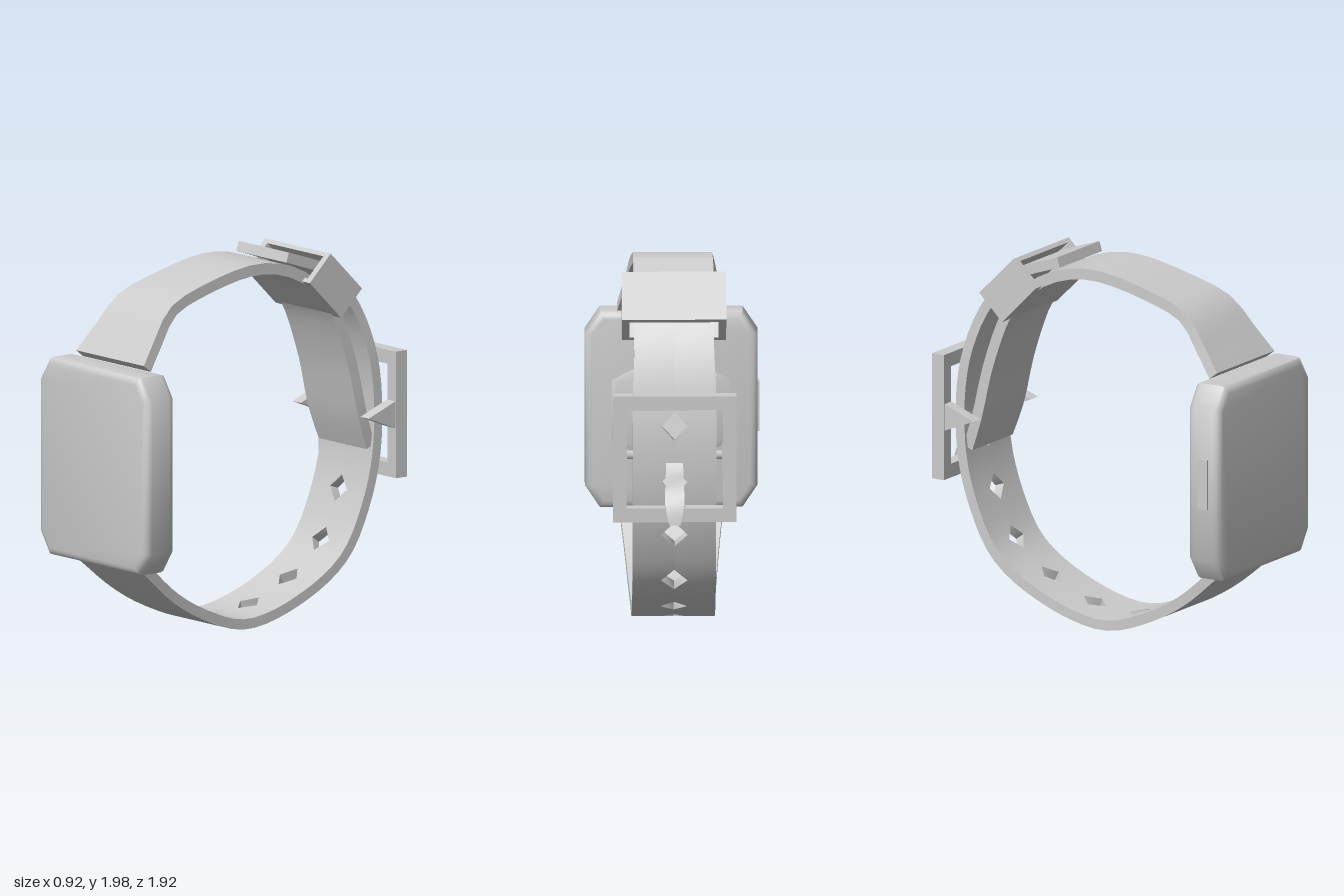
import * as THREE from 'three';
import { toCreasedNormals } from 'three/addons/utils/BufferGeometryUtils.js';

const material = new THREE.MeshStandardMaterial({ color: 0xcccccc });

function add(parent, name, geometry, x = 0, y = 0, z = 0) {
  const mesh = new THREE.Mesh(geometry, material);
  mesh.name = name;
  mesh.position.set(x, y, z);
  parent.add(mesh);
  return mesh;
}

// Sweep a rectangular section along [z, y, halfWidth] stations.
// edges(i, halfWidth) returns the left and right x of the section.
function ribbon(path, steps, thickness, edges) {
  const curve = new THREE.CatmullRomCurve3(path.map(([z, y, w]) => new THREE.Vector3(w, y, z)));
  const pts = curve.getSpacedPoints(steps);
  const pos = [], index = [];
  const h = thickness / 2;
  pts.forEach((p, i) => {
    const a = pts[Math.max(i - 1, 0)], b = pts[Math.min(i + 1, steps)];
    const len = Math.hypot(b.y - a.y, b.z - a.z);
    const ny = (b.z - a.z) / len * h, nz = -(b.y - a.y) / len * h;
    const [l, r] = edges(i, p.x);
    pos.push(l, p.y - ny, p.z - nz, r, p.y - ny, p.z - nz,
      r, p.y + ny, p.z + nz, l, p.y + ny, p.z + nz);
    if (i === steps) return;
    for (let j = 0; j < 4; j++) {
      const c = i * 4 + j, d = i * 4 + (j + 1) % 4;
      index.push(c, d, d + 4, c, d + 4, c + 4);
    }
  });
  const e = steps * 4;
  index.push(0, 3, 2, 0, 2, 1, e, e + 1, e + 2, e, e + 2, e + 3);
  const g = new THREE.BufferGeometry();
  g.setAttribute('position', new THREE.Float32BufferAttribute(pos, 3));
  g.setIndex(index);
  return toCreasedNormals(g, 0.8);
}

// Rectangular outline with cut corners
function rect(w, h, cx = 0, cy = 0, Type = THREE.Shape) {
  return new Type([
    [-w + cx, -h], [w - cx, -h], [w, -h + cy], [w, h - cy],
    [w - cx, h], [-w + cx, h], [-w, h - cy], [-w, -h + cy],
  ].filter((p, i) => cx > 0 || i % 2 === 0).map(([x, y]) => new THREE.Vector2(x, y)));
}

// Open rectangular frame centred on its own origin
function frame(w, h, innerW, innerH, depth) {
  const shape = rect(w, h);
  shape.holes.push(rect(innerW, innerH, 0, 0, THREE.Path));
  return new THREE.ExtrudeGeometry(shape, { depth, bevelEnabled: false }).translate(0, 0, -depth / 2);
}

export function createModel() {
  const model = new THREE.Group();
  model.name = 'wristwatch';

  // Case with softened edges and clipped corners
  const body = new THREE.ExtrudeGeometry(rect(0.415, 0.49, 0.06, 0.09), {
    depth: 0.12, bevelThickness: 0.04, bevelSize: 0.04, bevelSegments: 3,
  });
  add(model, 'case', toCreasedNormals(body, 0.9), 0, 0.95, 0.795);
  add(model, 'sideButton', new THREE.BoxGeometry(0.02, 0.27, 0.06), -0.455, 0.955, 0.855);

  // Six-sided sensor dome on the back of the case
  const dome = new THREE.LatheGeometry([[0.33, 0], [0.3, 0.014], [0.17, 0.036], [0, 0.045]]
    .map(([r, y]) => new THREE.Vector2(r, y)), 6);
  const sensor = add(model, 'sensor', dome, 0, 0.95, 0.756);
  sensor.rotation.x = -Math.PI / 2;
  sensor.scale.set(1.1, 1, 1);

  // Upper strap: over the wrist, through the keeper and down to the buckle
  add(model, 'upperStrap', ribbon([
    [0.81, 1.5, 0.285], [0.7, 1.64, 0.25], [0.59, 1.77, 0.225], [0.35, 1.86, 0.21],
    [0.02, 1.925, 0.21], [-0.18, 1.9, 0.21], [-0.35, 1.82, 0.21], [-0.5, 1.68, 0.21],
    [-0.63, 1.37, 0.21], [-0.71, 1.05, 0.21], [-0.77, 0.88, 0.2],
  ], 26, 0.06, (i, w) => [-w, w]));

  // Lower strap: two rails whose inner edges part to leave a row of holes
  const lower = [
    [0.81, 0.42, 0.275], [0.6, 0.245, 0.25], [0.4, 0.13, 0.235], [0.12, 0.035, 0.22],
    [-0.1, 0.06, 0.22], [-0.43, 0.2, 0.22], [-0.6, 0.34, 0.22], [-0.72, 0.57, 0.22],
    [-0.79, 0.82, 0.22], [-0.805, 1.13, 0.22], [-0.77, 1.38, 0.22], [-0.69, 1.6, 0.21],
    [-0.58, 1.76, 0.21], [-0.44, 1.88, 0.21], [-0.32, 1.925, 0.21], [-0.2, 1.965, 0.21],
  ];
  const gap = i => (i >= 10 && i <= 34 && i % 4 === 2 ? 0.07 : 0);
  const strap = new THREE.Group();
  strap.name = 'lowerStrap';
  model.add(strap);
  add(strap, 'leftRail', ribbon(lower, 48, 0.055, (i, w) => [gap(i), w]));
  add(strap, 'rightRail', ribbon(lower, 48, 0.055, (i, w) => [-w, -gap(i)]));

  // Keeper loop around both straps
  const keeper = add(model, 'keeper', frame(0.275, 0.1, 0.235, 0.075, 0.3), 0, 1.79, -0.475);
  keeper.rotation.x = -Math.PI / 4;

  // Buckle: frame, pointed hinge lugs, pin bar and prong
  const buckle = new THREE.Group();
  buckle.name = 'buckle';
  model.add(buckle);
  add(buckle, 'buckleFrame', frame(0.325, 0.34, 0.255, 0.265, 0.075), 0, 1.06, -0.878);
  const wedge = new THREE.Shape([[0.66, 1.06], [0.86, 0.98], [0.86, 1.14]]
    .map(([z, y]) => new THREE.Vector2(z, y)));
  for (const side of [-1, 1]) {
    const lug = new THREE.ExtrudeGeometry(wedge, { depth: 0.07, bevelEnabled: false })
      .translate(0, 0, -0.035).rotateY(Math.PI / 2);
    add(buckle, side > 0 ? 'leftLug' : 'rightLug', lug, side * 0.285, 0, 0);
  }
  add(buckle, 'pinBar', new THREE.CylinderGeometry(0.025, 0.025, 0.5, 6).rotateZ(Math.PI / 2), 0, 1.06, -0.8);
  add(buckle, 'prong', ribbon([
    [-0.74, 1.06, 0.04], [-0.83, 1.0, 0.045], [-0.87, 0.88, 0.05], [-0.925, 0.8, 0.05], [-0.945, 0.71, 0.03],
  ], 8, 0.04, (i, w) => [-w, w]));

  return model;
}
